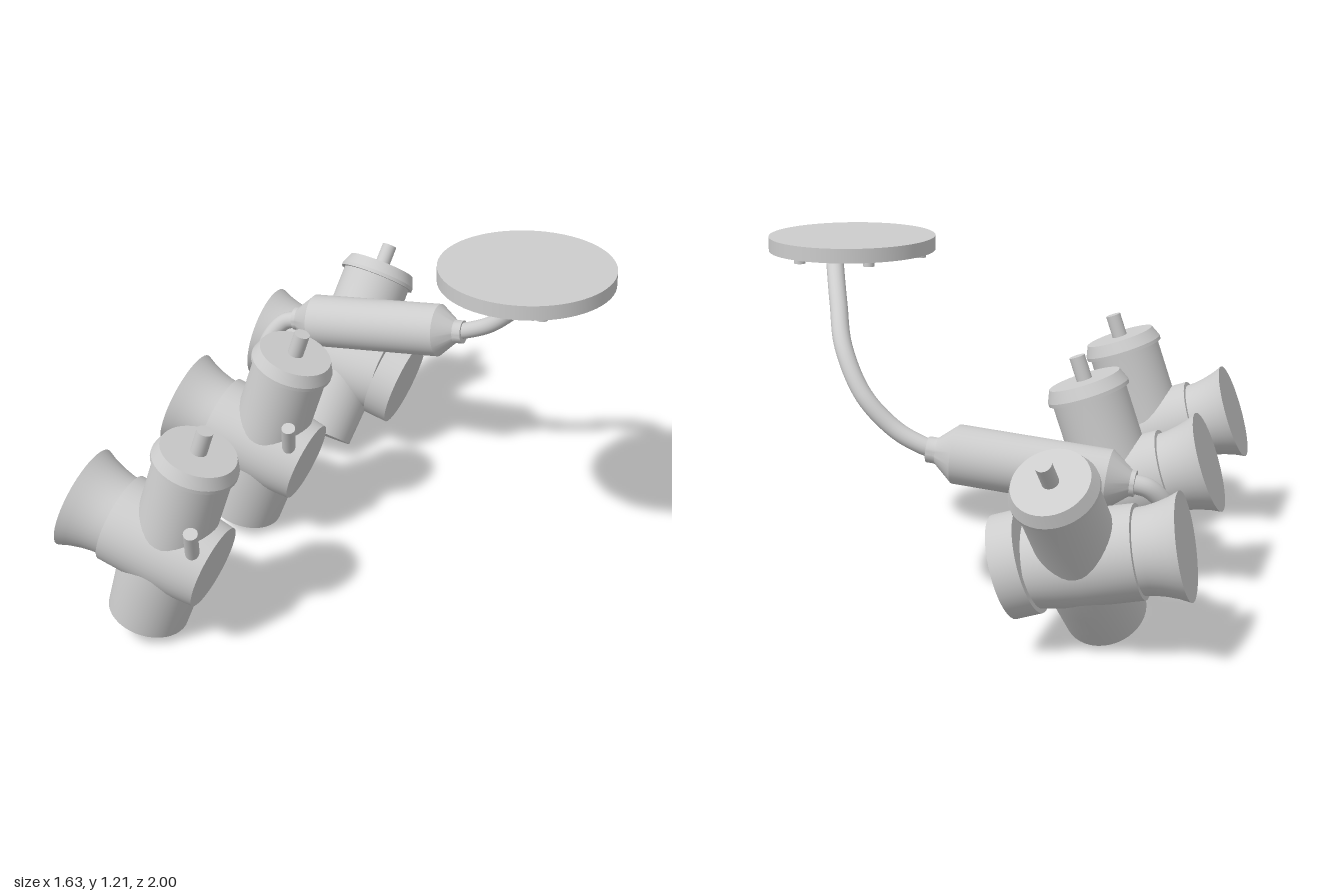
import * as THREE from 'three';
import { toCreasedNormals } from 'three/addons/utils/BufferGeometryUtils.js';

const grey = new THREE.MeshStandardMaterial({ color: 0xcccccc });
grey.name = 'light grey';
const UP = new THREE.Vector3(0, 1, 0);
const V = (p) => new THREE.Vector3(...p);

function mesh(name, geometry) {
  const m = new THREE.Mesh(geometry, grey);
  m.name = name;
  return m;
}

// Turned solid from [radius, height] pairs, bottom to top
function turned(name, profile) {
  const points = profile.map(([r, y]) => new THREE.Vector2(r, y));
  return mesh(name, toCreasedNormals(new THREE.LatheGeometry(points, 40), 0.4));
}

// Straight cylinder between two points
function rod(name, a, b, r, sides = 24) {
  const start = V(a), end = V(b), dir = end.clone().sub(start);
  const m = mesh(name, new THREE.CylinderGeometry(r, r, dir.length(), sides));
  m.position.copy(start).add(end).multiplyScalar(0.5);
  m.quaternion.setFromUnitVectors(UP, dir.normalize());
  return m;
}

// Bent pipe through points, with closed ends
function pipe(name, path, r) {
  const group = new THREE.Group();
  group.name = name;
  const curve = new THREE.CatmullRomCurve3(path.map(V));
  group.add(mesh(name + 'Bend', new THREE.TubeGeometry(curve, 48, r, 20)));
  for (const [t, s] of [[0, -1], [1, 1]]) {
    const cap = mesh(name + 'End', new THREE.CircleGeometry(r, 20));
    cap.position.copy(curve.getPoint(t));
    cap.quaternion.setFromUnitVectors(new THREE.Vector3(0, 0, 1), curve.getTangent(t).multiplyScalar(s));
    group.add(cap);
  }
  return group;
}

// Valve unit: flared cross body, upright chamber with bevelled cap, and pins
function valve(name) {
  const g = new THREE.Group();
  g.name = name;
  const body = turned('flaredBody', [
    [0, -0.335], [0.178, -0.335], [0.163, -0.3], [0.151, -0.26], [0.143, -0.22], [0.141, -0.19],
    [0.155, -0.188], [0.156, 0], [0.153, 0.08], [0.145, 0.168], [0, 0.168],
  ]);
  body.rotation.z = -Math.PI / 2;
  g.add(body);
  g.add(turned('uprightChamber', [[0, -0.3], [0.138, -0.3], [0.147, -0.14], [0.142, 0], [0.134, 0.14], [0.134, 0.36], [0, 0.36]]));
  g.add(turned('chamberCap', [[0, 0.345], [0.147, 0.345], [0.147, 0.358], [0.129, 0.4], [0, 0.4]]));
  g.add(rod('topPin', [0, 0.38, 0], [0, 0.485, 0], 0.028));
  g.add(rod('bottomPin', [0, -0.336, 0], [0, -0.28, 0], 0.027));
  g.add(rod('sideNozzle', [0.118, 0.07, 0.09], [0.102, 0.205, 0.148], 0.024));
  return g;
}

export function createModel() {
  const model = new THREE.Group();
  model.name = 'valveAssembly';

  // Two matching valves in a row
  for (const [name, z] of [['frontValve', 0.818], ['middleValve', 0.076]]) {
    const v = valve(name);
    v.position.set(-0.444, 0.348, z);
    v.rotation.z = -0.323;
    model.add(v);
  }

  // Rear valve leans back and carries a wide end collar
  const rear = valve('rearValve');
  rear.position.set(-0.455, 0.32, -0.662);
  rear.rotation.set(-0.64, 0, -0.187, 'ZYX');
  model.add(rear);
  model.add(rod('rearEndCollar', [-0.287, 0.3, -0.667], [-0.201, 0.273, -0.667], 0.172, 40));

  // Canister with tapered ends and neck
  const canister = turned('canister', [
    [0, -0.34], [0.043, -0.34], [0.043, -0.325], [0.098, -0.255], [0.098, 0.255],
    [0.045, 0.318], [0.043, 0.325], [0.043, 0.35], [0, 0.35],
  ]);
  canister.position.set(-0.26, 0.572, -0.526);
  canister.rotation.z = -Math.PI / 2 + 0.105;
  model.add(canister);

  // Pipes on either side of the canister
  model.add(pipe('outletPipe', [
    [-0.57, 0.538, -0.526], [-0.64, 0.52, -0.515], [-0.692, 0.45, -0.48], [-0.7, 0.35, -0.44], [-0.683, 0.205, -0.385],
  ], 0.032));
  model.add(pipe('supplyPipe', [
    [0.05, 0.604, -0.526], [0.11, 0.622, -0.526], [0.2, 0.667, -0.52], [0.31, 0.77, -0.505],
    [0.4, 0.91, -0.43], [0.46, 1.03, -0.29], [0.522, 1.135, -0.125],
  ], 0.03));

  // Mounting plate with six bolt heads underneath
  const plate = mesh('mountingPlate', new THREE.CylinderGeometry(0.294, 0.294, 0.05, 64));
  plate.position.set(0.52, 1.18, 0.073);
  model.add(plate);
  for (let i = 0; i < 6; i++) {
    const a = i * Math.PI / 3;
    const x = 0.52 + 0.248 * Math.cos(a), z = 0.073 + 0.248 * Math.sin(a);
    model.add(rod('plateBolt', [x, 1.136, z], [x, 1.16, z], 0.02, 16));
  }
  return model;
}
